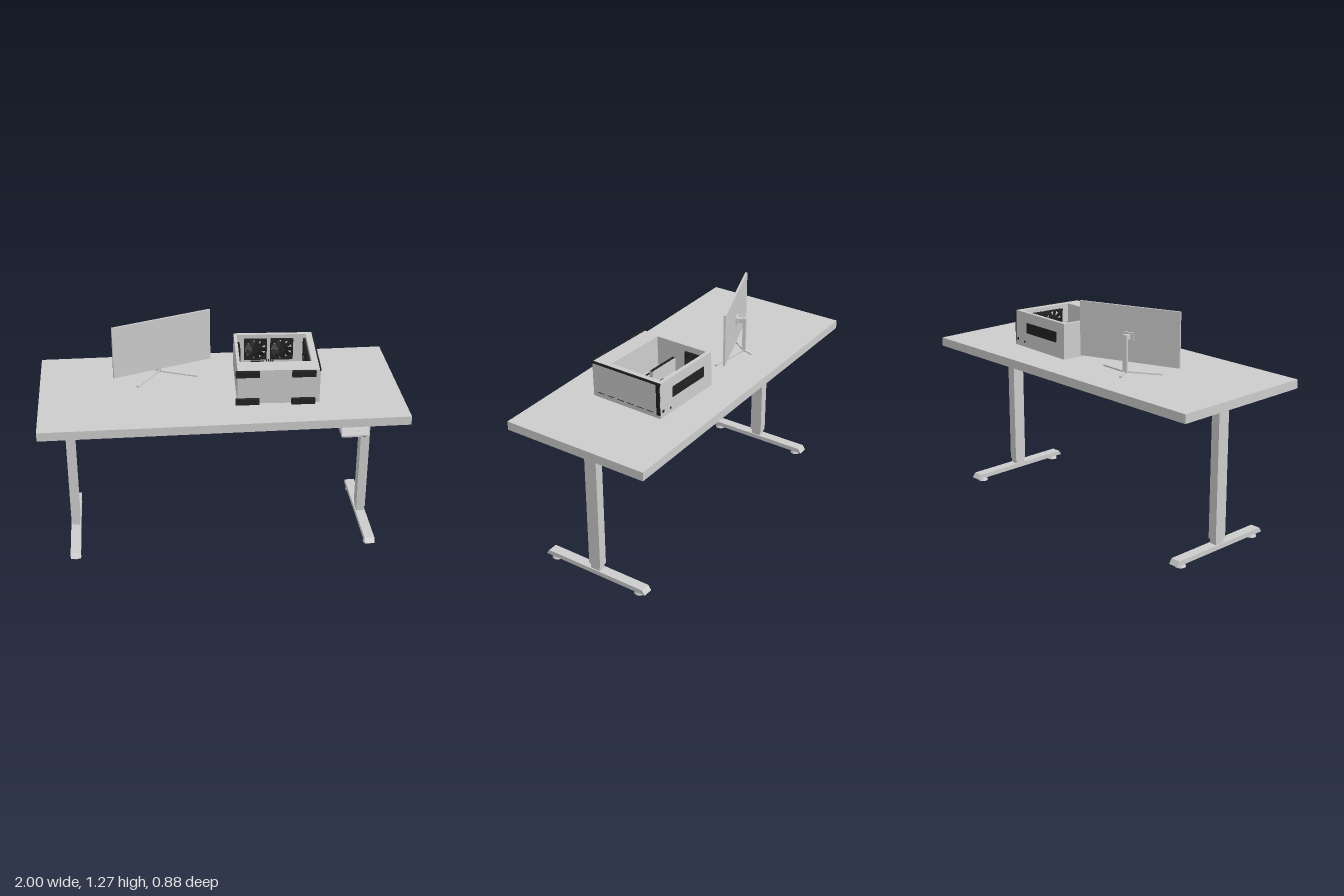
import * as THREE from 'three';

const grey = new THREE.MeshStandardMaterial({ color: 0xcccccc });
grey.name = 'light grey';
const dark = new THREE.MeshStandardMaterial({ color: 0x222222 });
dark.name = 'dark trim';

function add(parent, name, geometry, material = grey) {
  const mesh = new THREE.Mesh(geometry, material);
  mesh.name = name;
  parent.add(mesh);
  return mesh;
}

// Box given by its minimum and maximum on each axis
function box(parent, name, [x0, x1], [y0, y1], [z0, z1], material) {
  const mesh = add(parent, name, new THREE.BoxGeometry(x1 - x0, y1 - y0, z1 - z0), material);
  mesh.position.set((x0 + x1) / 2, (y0 + y1) / 2, (z0 + z1) / 2);
  return mesh;
}

// Side profile of (z, y) points, extruded across x
function profile(parent, name, points, x0, x1) {
  const shape = new THREE.Shape(points.map(([z, y]) => new THREE.Vector2(-z, y)));
  const geometry = new THREE.ExtrudeGeometry(shape, { depth: x1 - x0, bevelEnabled: false });
  geometry.rotateY(Math.PI / 2);
  geometry.translate(x0, 0, 0);
  return add(parent, name, geometry);
}

// Flat bar between two points
function bar(parent, name, a, b, width, height) {
  const from = new THREE.Vector3(...a), to = new THREE.Vector3(...b);
  const mesh = add(parent, name, new THREE.BoxGeometry(width, height, from.distanceTo(to)));
  mesh.position.copy(from).add(to).multiplyScalar(0.5);
  mesh.lookAt(to);
  return mesh;
}

function makeDesk() {
  const desk = new THREE.Group();
  desk.name = 'desk';
  box(desk, 'desktop', [-1, 1], [0.855, 0.905], [-0.44, 0.42]);

  for (const side of [-1, 1]) {
    const c = side * 0.845;
    box(desk, 'legColumn', [c - 0.026, c + 0.026], [0.075, 0.81], [-0.047, 0.027]);
    box(desk, 'legSocket', [c - 0.022, c + 0.022], [0.045, 0.075], [-0.04, 0.02]);
    profile(desk, 'foot', [[0.325, 0.02], [0.307, 0.047], [-0.327, 0.047], [-0.345, 0.02]], c - 0.029, c + 0.029);
    for (const z of [0.272, -0.29]) {
      const pad = add(desk, 'levellingPad', new THREE.CylinderGeometry(0.022, 0.03, 0.02, 20));
      pad.position.set(c, 0.01, z);
    }
    // Bracket carrying the top
    profile(desk, 'topBracket', [[0.16, 0.855], [0.16, 0.823], [0.065, 0.801], [0.02, 0.797],
      [-0.04, 0.797], [-0.085, 0.801], [-0.18, 0.823], [-0.18, 0.855]], c - 0.024, c + 0.024);
    const i = side * 0.71, o = side * 0.875;
    box(desk, 'cornerPlate', [Math.min(i, o), Math.max(i, o)], [0.804, 0.814], [-0.055, 0.035]);
    const f = side * 0.885;
    box(desk, 'bracketFlange', [f - 0.025, f + 0.025], [0.845, 0.8545], [-0.15, 0.13]);
  }

  // Twin rails under the top
  for (const z of [-0.044, 0.024])
    box(desk, 'crossRail', [-0.84, 0.84], [0.814, 0.85], [z - 0.014, z + 0.014]);

  // Height control and its cable
  profile(desk, 'controlBox', [[0.343, 0.855], [0.343, 0.808], [0.44, 0.805], [0.44, 0.815], [0.421, 0.855]], 0.62, 0.768);
  box(desk, 'controlBoxBase', [0.622, 0.766], [0.803, 0.808], [0.345, 0.438], dark);
  for (const x of [0.665, 0.72]) {
    const button = box(desk, 'controlButton', [x - 0.008, x + 0.008], [0.83, 0.84], [0.429, 0.434]);
    button.rotation.x = -0.44;
  }
  const cable = new THREE.CatmullRomCurve3([[0.7, 0.835, 0.345], [0.72, 0.828, 0.27], [0.78, 0.826, 0.2], [0.84, 0.825, 0.15]]
    .map(p => new THREE.Vector3(...p)));
  add(desk, 'controlCable', new THREE.TubeGeometry(cable, 20, 0.005, 8));
  return desk;
}

function makeMonitor() {
  const monitor = new THREE.Group();
  monitor.name = 'monitor';
  const screen = new THREE.Group();
  screen.name = 'screen';
  screen.position.set(-0.308, 0, -0.148);
  screen.rotation.y = 0.35;
  box(screen, 'screenPanel', [-0.295, 0.295], [0.97, 1.275], [-0.006, 0.006]);
  box(screen, 'mountPlate', [-0.03, 0.03], [1.09, 1.135], [-0.016, -0.006]);
  box(screen, 'mountArm', [-0.012, 0.012], [1.1, 1.125], [-0.05, -0.016]);
  box(screen, 'standPole', [-0.012, 0.012], [0.92, 1.13], [-0.062, -0.044]);
  monitor.add(screen);
  // Three splayed feet
  for (const end of [[-0.455, 0.909, -0.045], [-0.11, 0.909, -0.148], [-0.338, 0.909, -0.245]])
    bar(monitor, 'standFoot', [-0.326, 0.928, -0.198], end, 0.014, 0.008);
  return monitor;
}

// Fan in the xy plane: square frame, ring of blades and hub
function makeFan(size) {
  const fan = new THREE.Group();
  fan.name = 'fan';
  const r = size / 2;
  const shape = new THREE.Shape([[-r, -r], [r, -r], [r, r], [-r, r]].map(p => new THREE.Vector2(...p)));
  const hole = new THREE.Path();
  hole.absarc(0, 0, r * 0.92, 0, Math.PI * 2, true);
  shape.holes.push(hole);
  add(fan, 'fanFrame', new THREE.ExtrudeGeometry(shape, { depth: 0.014, bevelEnabled: false }), dark);
  const hub = add(fan, 'fanHub', new THREE.CylinderGeometry(r * 0.3, r * 0.3, 0.012, 16), dark);
  hub.rotation.x = Math.PI / 2;
  hub.position.z = 0.007;
  for (let i = 0; i < 9; i++) {
    const spoke = new THREE.Group();
    spoke.rotation.z = i * Math.PI * 2 / 9;
    const blade = box(spoke, 'fanBlade', [r * 0.25, r * 0.9], [-r * 0.24, r * 0.24], [0.006, 0.008], dark);
    blade.rotation.x = 0.4;
    fan.add(spoke);
  }
  return fan;
}

function makeComputer() {
  const pc = new THREE.Group();
  pc.name = 'computerCase';
  pc.position.set(0.317, 0.91, -0.01);
  pc.rotation.set(0.022, -0.05, 0);

  // Open-topped shell
  box(pc, 'caseFloor', [-0.225, 0.225], [0, 0.025], [-0.235, 0.215]);
  box(pc, 'rearWall', [-0.225, -0.207], [0.025, 0.203], [-0.235, 0.215]);
  box(pc, 'frontWall', [0.185, 0.225], [0.025, 0.203], [-0.235, 0.215]);
  box(pc, 'upperWall', [-0.207, 0.185], [0.025, 0.203], [-0.235, -0.212]);
  box(pc, 'powerShroud', [-0.207, 0.185], [0.025, 0.203], [0.115, 0.215]);

  // Dark trim and vents
  box(pc, 'ventGrille', [-0.155, 0.12], [0.085, 0.145], [-0.238, -0.235], dark);
  box(pc, 'port', [0.195, 0.207], [0.03, 0.045], [-0.238, -0.235], dark);
  box(pc, 'port', [0.135, 0.145], [0.025, 0.035], [-0.238, -0.235], dark);
  box(pc, 'frontEdgeTrim', [0.22, 0.228], [0.195, 0.206], [-0.237, 0.217], dark);
  box(pc, 'frontCornerTrim', [0.222, 0.229], [0.02, 0.203], [-0.235, -0.212], dark);
  for (let i = 0; i < 6; i++)
    box(pc, 'frontSeam', [0.225, 0.227], [0.026, 0.029], [-0.19 + i * 0.066, -0.145 + i * 0.066], dark);
  for (const x of [-0.17, 0.135])
    for (const y of [0, 0.168])
      box(pc, 'caseFoot', [x - 0.065, x + 0.065], [y, y + 0.033], [0.215, 0.235], dark);

  // Wall fans
  const fans = [[-0.206, -0.135, 0.11, Math.PI / 2], [0.184, -0.14, 0.13, -Math.PI / 2], [0.184, 0.0, 0.13, -Math.PI / 2],
    [-0.1, -0.211, 0.13, 0], [0.05, -0.211, 0.13, 0]];
  for (const [x, z, size, turn] of fans) {
    const fan = makeFan(size);
    fan.position.set(x, 0.115, z);
    fan.rotation.y = turn;
    pc.add(fan);
  }

  // Motherboard and components
  box(pc, 'motherboard', [-0.2, 0.02], [0.025, 0.031], [-0.195, 0.105]);
  box(pc, 'coolerBlock', [-0.13, -0.055], [0.031, 0.075], [-0.14, -0.07], dark);
  for (let i = 0; i < 4; i++)
    box(pc, 'memoryStick', [-0.04 + i * 0.012, -0.035 + i * 0.012], [0.031, 0.065], [-0.175, -0.045], dark);
  box(pc, 'portBlock', [-0.205, -0.18], [0.031, 0.06], [-0.18, -0.06]);
  box(pc, 'graphicsCard', [-0.2, 0.0], [0.035, 0.11], [-0.012, 0.012]);
  box(pc, 'graphicsCardEdge', [-0.2, 0.0], [0.11, 0.113], [-0.008, 0.008], dark);
  for (const z of [0.035, 0.06, 0.085])
    box(pc, 'expansionSlot', [-0.18, -0.06], [0.031, 0.038], [z - 0.003, z + 0.003], dark);
  for (const z of [-0.1, 0.03]) {
    const grommet = add(pc, 'cableGrommet', new THREE.CapsuleGeometry(0.01, 0.045, 4, 10), dark);
    grommet.scale.y = 1;
    grommet.rotation.x = Math.PI / 2;
    grommet.position.set(0.14, 0.018, z);
  }
  return pc;
}

export function createModel() {
  const model = new THREE.Group();
  model.name = 'deskSetup';
  model.add(makeDesk(), makeMonitor(), makeComputer());
  return model;
}
